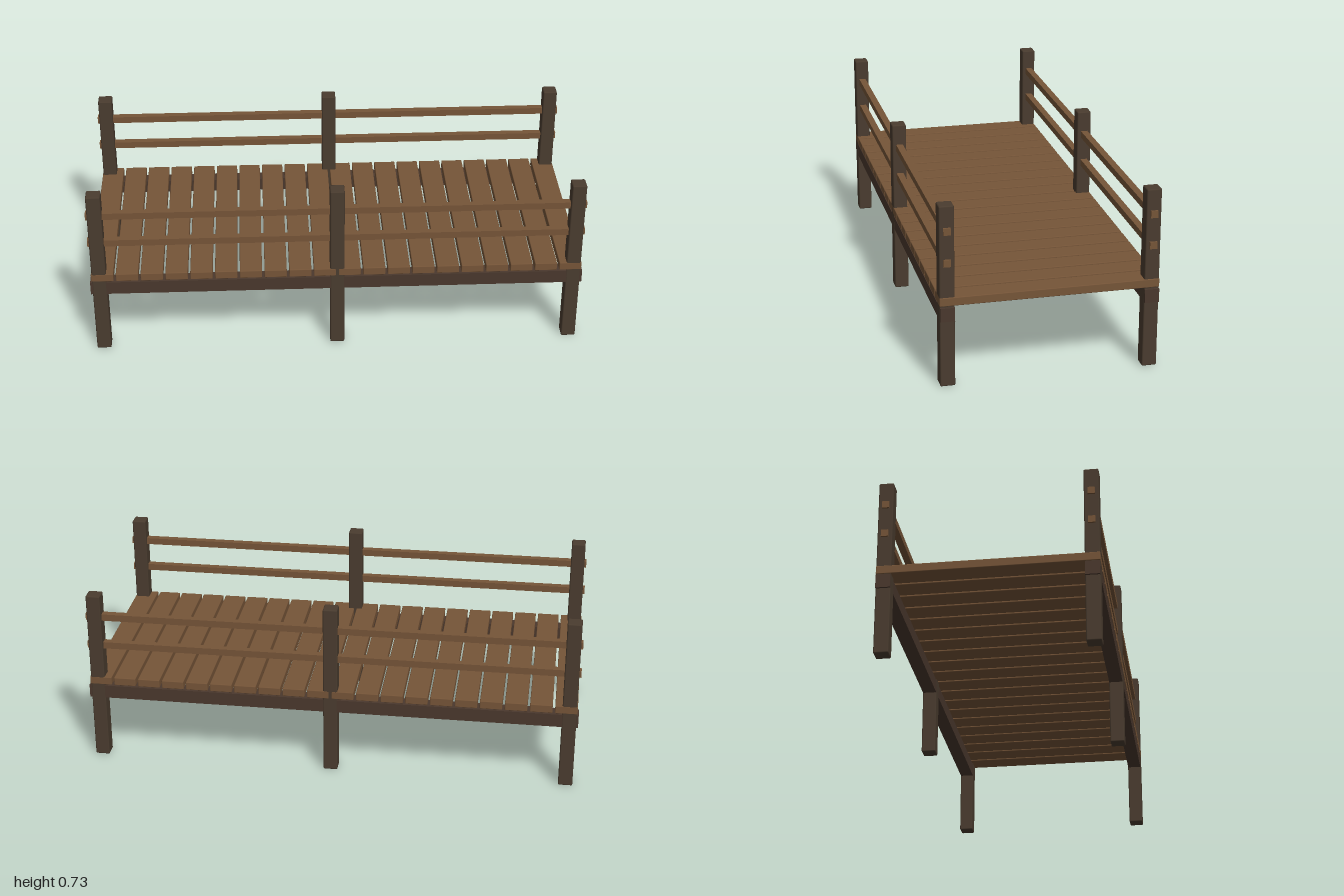
import * as THREE from 'three';
import { RoundedBoxGeometry } from 'three/addons/geometries/RoundedBoxGeometry.js';

const plankWood = new THREE.MeshStandardMaterial({ color: 0x765538 });
const postWood = new THREE.MeshStandardMaterial({ color: 0x4a3c2f });
const beamWood = new THREE.MeshStandardMaterial({ color: 0x4a382d });

export function createModel() {
  const group = new THREE.Group();
  group.name = 'woodenFootbridge';

  const add = (name, geometry, material, x, y, z) => {
    const mesh = new THREE.Mesh(geometry, material);
    mesh.name = name;
    mesh.position.set(x, y, z);
    group.add(mesh);
  };

  // Deck planks laid across the bridge with narrow gaps
  const count = 20;
  const plank = new RoundedBoxGeometry(0.09, 0.034, 0.851, 1, 0.003);
  for (let i = 0; i < count; i++) {
    add('plank', plank, plankWood, -0.95 + i * 0.1, 0.346, 0);
  }

  const post = new RoundedBoxGeometry(0.058, 0.725, 0.058, 1, 0.005);
  const beam = new THREE.BoxGeometry(2, 0.055, 0.056);
  const rail = new THREE.BoxGeometry(2, 0.028, 0.028);

  for (const side of [-1, 1]) {
    const z = side * 0.396;
    // Full-height posts carry both the deck and the railing
    for (const x of [-0.963, 0, 0.963]) add('post', post, postWood, x, 0.3625, z);
    // Long bearer below the planks
    add('sideBeam', beam, beamWood, 0, 0.296, z);
    // Two rails passing through the posts
    add('lowerRail', rail, plankWood, 0, 0.502, z);
    add('upperRail', rail, plankWood, 0, 0.627, z);
  }

  return group;
}
